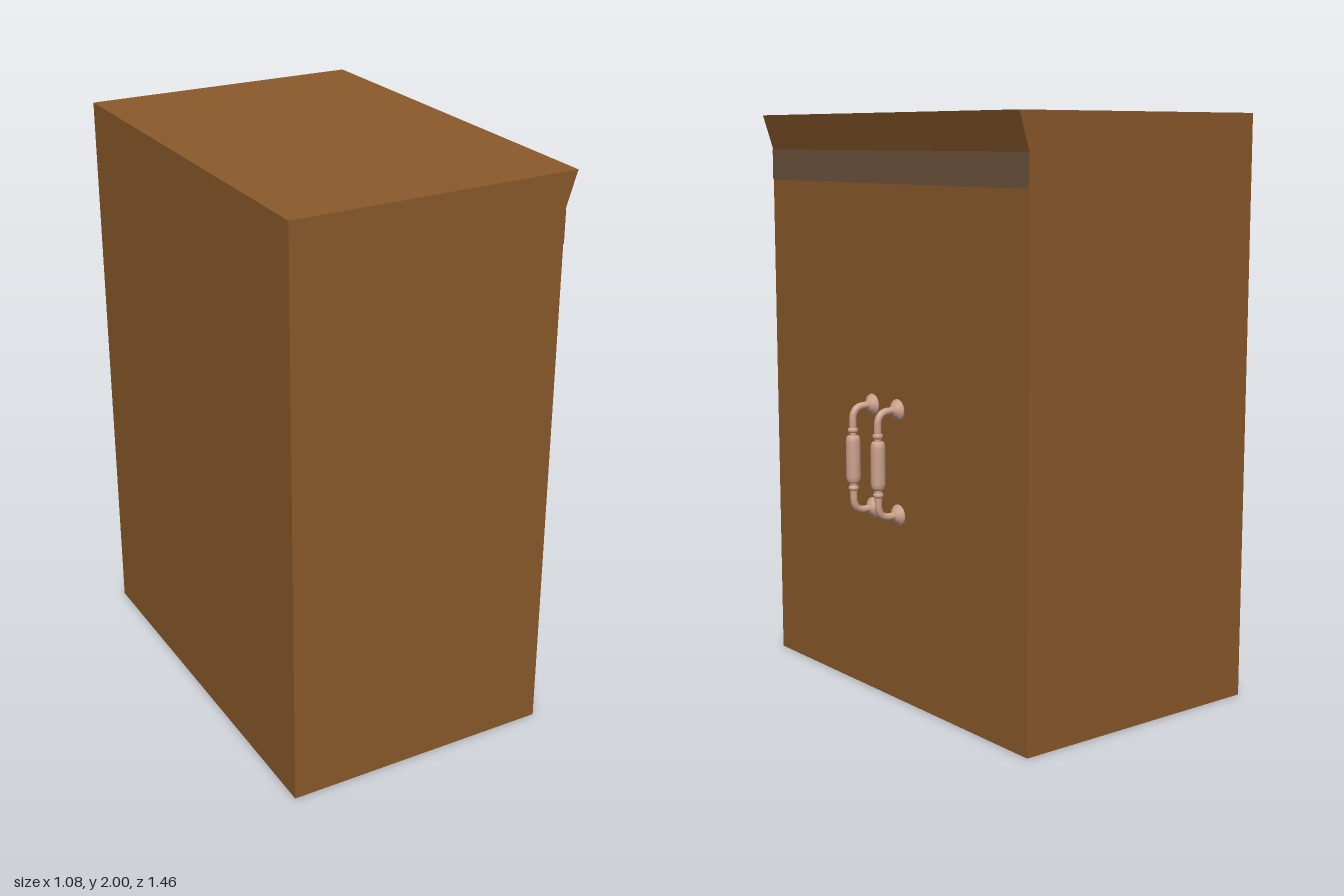
import * as THREE from 'three';

const wood = new THREE.MeshStandardMaterial({ name: 'brown wood', color: 0x8b5a2b });
const band = new THREE.MeshStandardMaterial({ name: 'grey brown band', color: 0x6e533d });
const metal = new THREE.MeshStandardMaterial({ name: 'rose metal', color: 0xcda28c });

const DEPTH = 1.46, FRONT = 0.414;
const GRIP_X = 0.512, MID_Y = 0.841, FOOT_Y = 0.18, FOOT_X = 0.427;

function part(name, geometry, material) {
  const mesh = new THREE.Mesh(geometry, material);
  mesh.name = name;
  return mesh;
}

const lathe = (points) =>
  new THREE.LatheGeometry(points.map(([r, y]) => new THREE.Vector2(r, y)), 24);

// Pull handle: bent rod, turned grip with collars, and two round feet
function makeHandle(name, z) {
  const handle = new THREE.Group();
  handle.name = name;
  const v = (x, y) => new THREE.Vector3(x, y, 0);
  const bend = 0.045, reach = GRIP_X - FOOT_X;

  const path = new THREE.CurvePath();
  path.add(new THREE.LineCurve3(v(-reach, FOOT_Y), v(-bend, FOOT_Y)));
  path.add(new THREE.QuadraticBezierCurve3(v(-bend, FOOT_Y), v(0, FOOT_Y), v(0, FOOT_Y - bend)));
  path.add(new THREE.LineCurve3(v(0, FOOT_Y - bend), v(0, bend - FOOT_Y)));
  path.add(new THREE.QuadraticBezierCurve3(v(0, bend - FOOT_Y), v(0, -FOOT_Y), v(-bend, -FOOT_Y)));
  path.add(new THREE.LineCurve3(v(-bend, -FOOT_Y), v(-reach, -FOOT_Y)));
  handle.add(part('rod', new THREE.TubeGeometry(path, 80, 0.0125, 16), metal));

  handle.add(part('grip', lathe([
    [0.012, -0.083], [0.019, -0.081], [0.023, -0.074], [0.025, -0.06],
    [0.025, 0.06], [0.023, 0.074], [0.019, 0.081], [0.012, 0.083],
  ]), metal));

  for (const s of [1, -1]) {
    const collar = part('collar', lathe([
      [0.011, -0.009], [0.016, -0.007], [0.018, 0], [0.016, 0.007], [0.011, 0.009],
    ]), metal);
    collar.position.y = s * 0.1;
    const foot = part('foot', lathe([
      [0, 0], [0.035, 0], [0.037, 0.004], [0.035, 0.01], [0.028, 0.012],
      [0.025, 0.018], [0.018, 0.022], [0.011, 0.026],
    ]), metal);
    foot.rotation.z = -Math.PI / 2;
    foot.position.set(-reach, s * FOOT_Y, 0);
    handle.add(collar, foot);
  }
  handle.position.set(GRIP_X, MID_Y, z);
  return handle;
}

export function createModel() {
  const model = new THREE.Group();
  model.name = 'cabinet';

  // Body with a sloping lip along the top of the door side
  const profile = new THREE.Shape([
    [-0.543, 0], [FRONT, 0], [FRONT, 1.878], [0.454, 2], [-0.543, 2],
  ].map(([x, y]) => new THREE.Vector2(x, y)));
  const body = new THREE.ExtrudeGeometry(profile, { depth: DEPTH, bevelEnabled: false });
  body.translate(0, 0, -DEPTH / 2);
  model.add(part('body', body, wood));

  // Painted band just under the lip
  const strip = part('band', new THREE.BoxGeometry(0.003, 0.109, DEPTH), band);
  strip.position.set(FRONT + 0.001, 1.8235, 0);
  model.add(strip);

  model.add(makeHandle('frontHandle', 0.082), makeHandle('backHandle', -0.066));
  return model;
}
